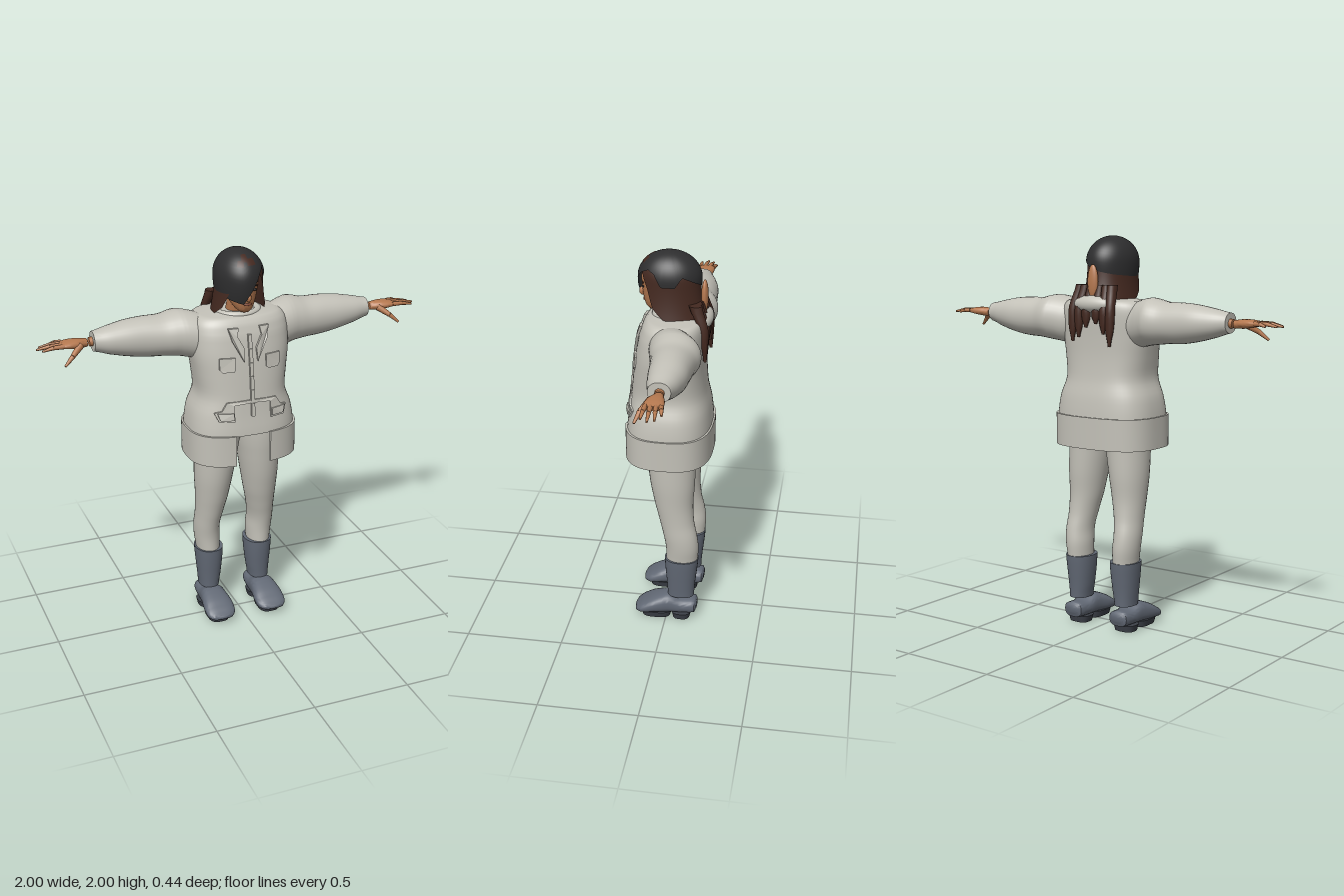
import * as THREE from 'three';
import { mergeVertices, toCreasedNormals } from 'three/addons/utils/BufferGeometryUtils.js';

const { lerp, degToRad } = THREE.MathUtils;
const mat = (name, color, side = THREE.FrontSide) => Object.assign(new THREE.MeshStandardMaterial({ color, side }), { name });

// Jacket body rows: y, x0, x1, z back, z front
const TORSO = [
  [1.1, -0.275, 0.275, -0.213, 0.213], [1.2, -0.26, 0.26, -0.203, 0.2], [1.29, -0.228, 0.228, -0.185, 0.19],
  [1.4, -0.237, 0.237, -0.176, 0.178], [1.5, -0.25, 0.25, -0.176, 0.165], [1.6, -0.25, 0.25, -0.18, 0.146],
  [1.65, -0.24, 0.24, -0.178, 0.128], [1.68, -0.21, 0.21, -0.165, 0.105], [1.69, -0.12, 0.12, -0.12, 0.06]];

function flip(g) {
  const ix = g.index.array;
  for (let i = 0; i < ix.length; i += 3) [ix[i], ix[i + 1]] = [ix[i + 1], ix[i]];
}
// Geometry with its faces turned outward from the middle
function fromGrid(pos, idx) {
  const g = new THREE.BufferGeometry();
  g.setAttribute('position', new THREE.Float32BufferAttribute(pos, 3));
  g.setIndex(idx);
  g.computeBoundingBox();
  const c = g.boundingBox.getCenter(new THREE.Vector3());
  const at = (i) => new THREE.Vector3().fromArray(pos, idx[i] * 3).sub(c);
  let vol = 0;
  for (let i = 0; i < idx.length; i += 3) vol += at(i).dot(at(i + 1).cross(at(i + 2)));
  if (vol < 0) flip(g);
  return g;
}

// Closed smooth loft through superellipse rows [t, a0, a1, b0, b1] along one axis
function loft(rows, axis = 'y', e = 2, n = 32, sub = 4) {
  const pos = [], idx = [], fine = [], last = rows.length - 1;
  const put = (t, a, b) => pos.push(...{ x: [t, a, b], y: [a, t, b], z: [a, b, t] }[axis]);
  const pw = (c) => Math.sign(c) * Math.abs(c) ** (2 / e);
  const spline = (p, q, r, s, f) => q + 0.5 * f * (r - p + f * (2 * p - 5 * q + 4 * r - s + f * (3 * (q - r) + s - p)));
  for (let i = 0; i < last; i++) for (let k = 0; k < sub; k++) {
    const p = rows[Math.max(i - 1, 0)], r = rows[i + 1], s = rows[Math.min(i + 2, last)], f = k / sub;
    fine.push(rows[i].map((q, j) => (j ? spline(p[j], q, r[j], s[j], f) : lerp(q, r[0], f))));
  }
  fine.push(rows[last]);
  for (const [t, a0, a1, b0, b1] of fine) for (let j = 0; j < n; j++) {
    const w = (j / n) * Math.PI * 2;
    put(t, (a0 + a1) / 2 + (a1 - a0) / 2 * pw(Math.cos(w)), (b0 + b1) / 2 + (b1 - b0) / 2 * pw(Math.sin(w)));
  }
  fine.forEach(([t, a0, a1, b0, b1], i) => {
    const end = i === fine.length - 1, c = pos.length / 3;
    if (i === 0 || end) put(t, (a0 + a1) / 2, (b0 + b1) / 2);
    for (let j = 0; j < n; j++) {
      const a = i * n + j, b = i * n + (j + 1) % n;
      if (i === 0) idx.push(b, a, c);
      if (end) idx.push(a, b, c);
      else idx.push(a, b, a + n, b, b + n, a + n);
    }
  });
  return toCreasedNormals(fromGrid(pos, idx), 0.9);
}

// Open dome whose lower rim follows a table of [degrees from the front, y]
function dome(rim, rx, ry, rz, flare, n = 72, m = 16) {
  const cy = 1.87, pos = [], idx = [];
  for (let i = 0; i <= m; i++) for (let j = 0; j < n; j++) {
    const d = (j / n) * 360 - 180, k = Math.max(1, rim.findIndex((r) => r[0] >= d));
    const [d0, y0] = rim[k - 1], [d1, y1] = rim[k], a = degToRad(d);
    const u = (lerp(y0, y1, (d - d0) / (d1 - d0)) - cy) / ry;
    const th = (i / m) * (u > 0 ? Math.acos(u) : Math.PI / 2 - u), low = th - Math.PI / 2;
    const f = low < 0 ? Math.sin(th) : 1 + flare * low * low;
    pos.push(rx * f * Math.sin(a), cy + ry * (low < 0 ? Math.cos(th) : -low), 0.005 + rz * f * Math.cos(a));
    const p = i * n + j, q = i * n + (j + 1) % n;
    if (i < m) idx.push(p, p + n, q, q, p + n, q + n);
  }
  const g = fromGrid(pos, idx);
  g.computeVertexNormals();
  return g;
}

// Tapered rod between two points
function rod(p, q, r0, r1) {
  const a = new THREE.Vector3(...p), b = new THREE.Vector3(...q), d = b.clone().sub(a);
  const g = new THREE.CylinderGeometry(r1, r0, d.length(), 10);
  g.applyQuaternion(new THREE.Quaternion().setFromUnitVectors(new THREE.Vector3(0, 1, 0), d.normalize()));
  return g.translate(...a.add(b).multiplyScalar(0.5).toArray());
}
const ball = (x, y, z, a, b, c) => new THREE.SphereGeometry(1, 24, 16).scale(a, b, c).translate(x, y, z);

// Thin plate lying on the jacket front
function frontZ(x, y) {
  const i = TORSO.findIndex((r) => r[0] >= y), p = TORSO[i - 1], q = TORSO[i];
  const [, , rx, zb, zf] = p.map((v, j) => lerp(v, q[j], (y - p[0]) / (q[0] - p[0])));
  return (zf + zb) / 2 + (zf - zb) / 2 * (1 - (Math.abs(x) / rx) ** 2.7) ** (1 / 2.7);
}
function plate(pts, depth = 0.009) {
  const s = new THREE.Shape(pts.map((p) => new THREE.Vector2(...p)));
  const g = new THREE.ExtrudeGeometry(s, { depth, bevelEnabled: false }), p = g.attributes.position;
  for (let i = 0; i < p.count; i++) p.setZ(i, p.getZ(i) + frontZ(p.getX(i), p.getY(i)) + 0.001);
  g.computeVertexNormals();
  return g;
}

export function createModel() {
  const cloth = mat('pale cloth', 0xc3c1b8), boot = mat('slate boot', 0x626975), sole = mat('dark sole', 0x3c4048);
  const skin = mat('skin', 0xb67950), cap = mat('charcoal cap', 0x2e2e2f, THREE.DoubleSide);
  const hair = mat('brown hair', 0x442920, THREE.DoubleSide), lip = mat('lips', 0x8a4f3a);
  const model = new THREE.Group();
  const add = (name, g, m) => {
    const mesh = new THREE.Mesh(g, m);
    mesh.name = name;
    model.add(mesh);
  };
  const pair = (name, g, m) => {
    add('left ' + name, g, m);
    const r = g.index ? g.clone() : mergeVertices(g);
    flip(r.scale(-1, 1, 1));
    add('right ' + name, r, m);
  };

  // Jacket body and flared hem with a front opening
  add('jacket body', loft(TORSO, 'y', 2.7, 56), cloth);
  const pw = (c) => Math.sign(c) * Math.abs(c) ** 0.72;
  const arc = Array.from({ length: 73 }, (_, i) => Math.PI / 2 + lerp(0.205, Math.PI * 2 - 0.205, i / 72));
  const ring = (rx, rz) => arc.map((w) => new THREE.Vector2(rx * pw(Math.cos(w)), rz * pw(Math.sin(w))));
  const hem = new THREE.Shape([...ring(0.283, 0.221), ...ring(0.272, 0.21).reverse()]);
  const hemGeo = new THREE.ExtrudeGeometry(hem, { depth: 0.16, bevelEnabled: false });
  add('jacket hem', toCreasedNormals(hemGeo.rotateX(Math.PI / 2).translate(0, 1.105, 0), 0.6), cloth);

  // Sleeves, hood roll and collar
  pair('sleeve', loft([
    [0.1, 1.5, 1.66, -0.13, 0.06], [0.2, 1.455, 1.684, -0.15, 0.075], [0.27, 1.465, 1.7, -0.18, 0.065],
    [0.31, 1.472, 1.7, -0.193, 0.055], [0.38, 1.48, 1.685, -0.178, 0.04], [0.47, 1.485, 1.684, -0.17, 0.028],
    [0.56, 1.5, 1.676, -0.163, 0.02], [0.65, 1.523, 1.66, -0.14, 0.008], [0.725, 1.547, 1.645, -0.115, -0.008]],
  'x', 2.1), cloth);
  add('hood roll', ball(0, 1.665, -0.16, 0.12, 0.045, 0.05), cloth);
  add('collar', new THREE.TorusGeometry(1, 0.18, 12, 40).rotateX(Math.PI / 2).scale(0.105, 0.09, 0.1)
    .translate(0, 1.683, -0.025), cloth);

  // Pockets, lapels and zip
  pair('chest pocket', plate([[0.08, 1.5], [0.08, 1.44], [0.09, 1.43], [0.145, 1.43], [0.157, 1.445], [0.157, 1.5]]), cloth);
  pair('lapel', plate([[0.055, 1.64], [0.105, 1.64], [0.09, 1.58], [0.035, 1.475], [0.03, 1.54], [0.062, 1.6]], 0.013), cloth);
  pair('hip pocket', plate([[0, 1.283], [0, 1.268], [0.095, 1.262], [0.095, 1.18], [0.17, 1.18],
    [0.19, 1.225], [0.155, 1.235], [0.13, 1.277]]), cloth);
  pair('hip flap', plate([[0.1, 1.225], [0.1, 1.19], [0.165, 1.19], [0.178, 1.225]], 0.016), cloth);
  for (let y = 1.2; y < 1.6; y += 0.068) {
    add('zip', plate([[-0.009, y], [0.009, y], [0.009, y + 0.066], [-0.009, y + 0.066]], 0.013), cloth);
  }

  // Trousers
  pair('trouser leg', loft([
    [0.35, 0.083, 0.203, -0.163, 0.002], [0.43, 0.081, 0.213, -0.168, 0.003], [0.5, 0.084, 0.217, -0.16, 0.014],
    [0.58, 0.072, 0.215, -0.143, 0.034], [0.68, 0.05, 0.218, -0.136, 0.06], [0.8, 0.028, 0.225, -0.143, 0.085],
    [0.93, 0.006, 0.226, -0.145, 0.1], [1.02, -0.01, 0.225, -0.145, 0.105], [1.12, -0.02, 0.2, -0.13, 0.1]]), cloth);

  // Boots: shaft, foot, sole pads
  pair('boot shaft', loft([[0.135, 0.09, 0.195, -0.146, -0.006], [0.2, 0.08, 0.2, -0.15, -0.002],
    [0.29, 0.07, 0.208, -0.16, 0.006], [0.362, 0.066, 0.213, -0.167, 0.01]], 'y', 2.2), boot);
  pair('boot foot', loft([
    [-0.162, 0.11, 0.175, 0.06, 0.1], [-0.152, 0.09, 0.195, 0.035, 0.113], [-0.08, 0.083, 0.2, 0.03, 0.112],
    [-0.02, 0.078, 0.207, 0.028, 0.138], [0.02, 0.073, 0.214, 0.027, 0.132], [0.08, 0.064, 0.222, 0.025, 0.11],
    [0.13, 0.068, 0.22, 0.025, 0.08], [0.158, 0.09, 0.2, 0.03, 0.06], [0.166, 0.12, 0.17, 0.036, 0.05]], 'z', 2.6), boot);
  for (const [z0, z1] of [[-0.02, 0.13], [-0.125, -0.035]]) {
    pair('sole pad', loft([[0, 0.09, 0.198, z0, z1], [0.034, 0.082, 0.206, z0 - 0.006, z1 + 0.006]], 'y', 3, 28, 1), sole);
  }

  // Wrists and hands
  pair('wrist', rod([0.71, 1.595, -0.064], [0.742, 1.594, -0.064], 0.024, 0.022), skin);
  pair('palm', loft([[0.752, 1.573, 1.612, -0.088, -0.044], [0.8, 1.573, 1.618, -0.1, -0.022],
    [0.85, 1.58, 1.616, -0.106, -0.014], [0.885, 1.587, 1.609, -0.1, -0.018]], 'x', 2.4, 20), skin);
  const fingers = [[-0.096, 0.935, -0.108], [-0.073, 0.983, -0.085], [-0.049, 1, -0.055], [-0.026, 0.978, -0.022]];
  for (const [z, tx, tz] of fingers) {
    const mid = [lerp(0.87, tx, 0.5), 1.6, lerp(z, tz, 0.5)];
    pair('finger base', rod([0.87, 1.6, z], mid, 0.012, 0.01), skin);
    pair('finger tip', rod(mid, [tx, 1.59, tz], 0.01, 0.005), skin);
  }
  pair('thumb base', rod([0.79, 1.592, -0.035], [0.84, 1.556, 0.005], 0.018, 0.012), skin);
  pair('thumb tip', rod([0.84, 1.556, 0.005], [0.883, 1.518, 0.024], 0.012, 0.006), skin);

  // Neck, head and face
  add('neck', rod([0, 1.64, -0.03], [0, 1.78, 0.01], 0.058, 0.052), skin);
  add('head', loft([[1.705, -0.025, 0.025, 0.06, 0.108], [1.72, -0.042, 0.042, 0.02, 0.122],
    [1.75, -0.06, 0.06, -0.04, 0.132], [1.79, -0.075, 0.075, -0.09, 0.138], [1.83, -0.084, 0.084, -0.11, 0.142],
    [1.89, -0.088, 0.088, -0.12, 0.14], [1.95, -0.065, 0.065, -0.08, 0.09], [1.975, -0.03, 0.03, -0.03, 0.04]]), skin);
  add('nose', ball(0, 1.787, 0.139, 0.013, 0.022, 0.018), skin);
  add('mouth', ball(0, 1.751, 0.13, 0.022, 0.007, 0.006), lip);
  pair('eye', ball(0.033, 1.822, 0.131, 0.014, 0.006, 0.005), cap);
  pair('eyebrow', ball(0.036, 1.843, 0.131, 0.018, 0.004, 0.005), hair);

  // Hair under the cap, with locks down the back
  add('hair', dome([[-180, 1.7], [-150, 1.68], [-120, 1.69], [-85, 1.69], [-65, 1.73], [-50, 1.8], [-30, 1.88],
    [0, 1.91], [32, 1.9], [48, 1.84], [65, 1.74], [85, 1.69], [120, 1.67], [150, 1.68], [180, 1.7]],
  0.113, 0.126, 0.15, 0.08), hair);
  for (const [x, y] of [[-0.112, 1.46], [-0.075, 1.52], [-0.03, 1.57], [0.03, 1.55], [0.075, 1.5], [0.112, 1.48]]) {
    const row = (ty, cx, w, z0, z1) => [ty, cx - w, cx + w, z0, z1];
    add('back lock', loft([row(y, x, 0.007, -0.192, -0.176), row(lerp(y, 1.64, 0.5), x, 0.024, -0.198, -0.165),
      row(1.65, x, 0.024, -0.198, -0.15), row(1.76, x * 0.85, 0.024, -0.165, -0.1)], 'y', 2, 12), hair);
  }
  add('tied tail', ball(0, 1.775, -0.165, 0.03, 0.085, 0.018), skin);

  // Cap with a slanted fringe and brown streaks
  add('cap', dome([[-180, 1.83], [-135, 1.81], [-90, 1.8], [-55, 1.78], [-30, 1.765], [-14, 1.755], [0, 1.8], [28, 1.9],
    [50, 1.925], [66, 1.91], [80, 1.85], [105, 1.85], [118, 1.9], [150, 1.86], [180, 1.83]],
  0.121, 0.13, 0.157, -0.14), cap);
  for (const angles of [[72, 22, 28, 20], [88, 26, 40, 16], [60, 18, 45, 14]]) {
    add('hair streak', new THREE.SphereGeometry(1, 10, 8, ...angles.map(degToRad))
      .scale(0.1225, 0.1315, 0.1585).translate(0, 1.87, 0.005), hair);
  }
  return model;
}
